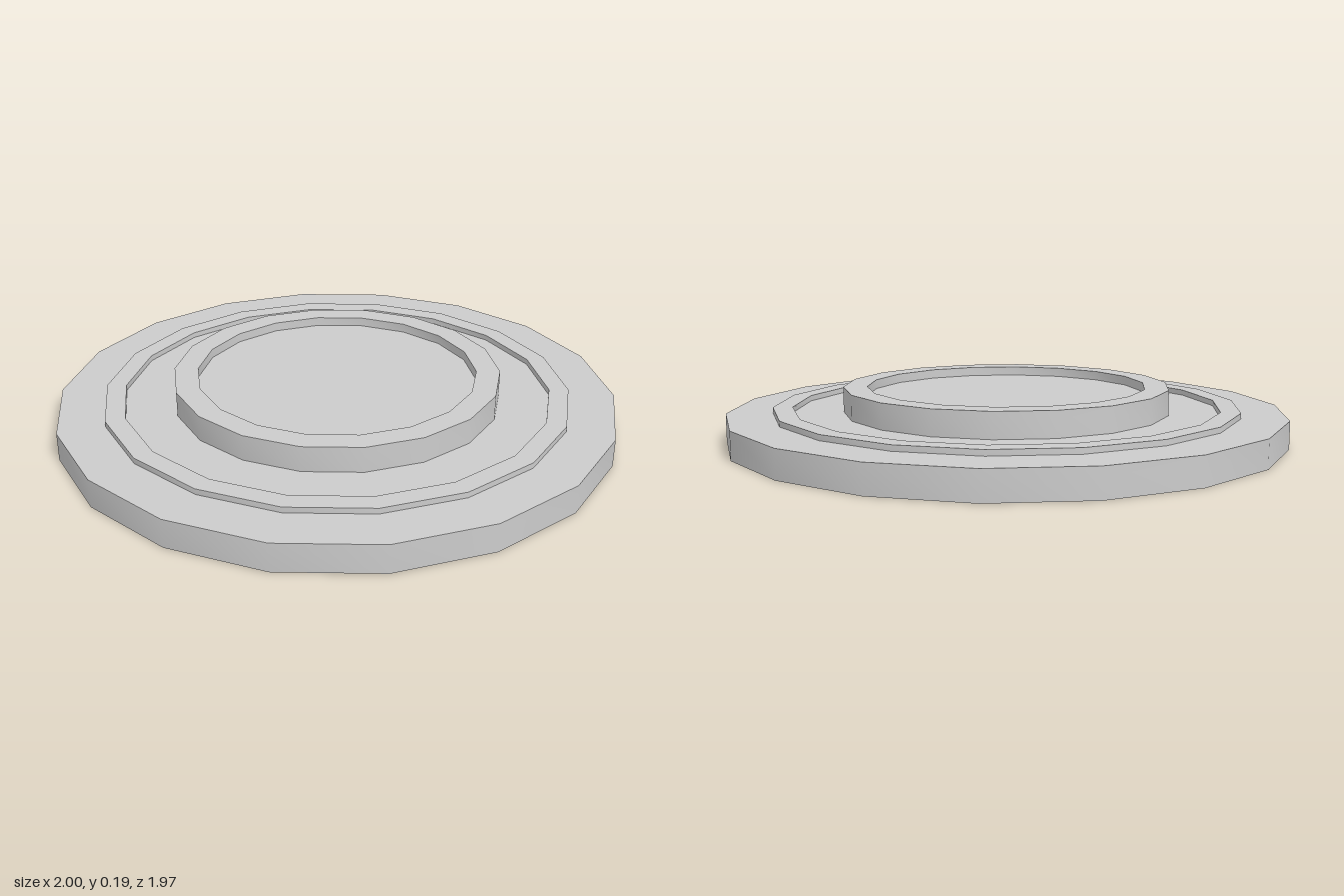
import * as THREE from 'three';
import { toCreasedNormals } from 'three/addons/utils/BufferGeometryUtils.js';

const SIDES = 18;

export function createModel() {
  const group = new THREE.Group();
  const material = new THREE.MeshStandardMaterial({ color: 0xcccccc });

  // Turns a [radius, height] profile, with smooth sides and sharp rims
  function turned(name, profile) {
    const points = profile.map(([r, y]) => new THREE.Vector2(r, y));
    const lathe = new THREE.LatheGeometry(points, SIDES, Math.PI / 2);
    const mesh = new THREE.Mesh(toCreasedNormals(lathe, Math.PI / 6), material);
    mesh.name = name;
    group.add(mesh);
  }

  // Solid base plate
  turned('basePlate', [[0, 0], [1, 0], [1, 0.1], [0, 0.1]]);

  // Low raised ring near the edge
  turned('outerRing', [[0.835, 0.1], [0.835, 0.12], [0.765, 0.12], [0.765, 0.1]]);

  // Tall central drum with a shallow recessed top
  turned('centralDrum', [[0.585, 0.1], [0.585, 0.19], [0.5, 0.19], [0.5, 0.157], [0, 0.157]]);

  return group;
}
